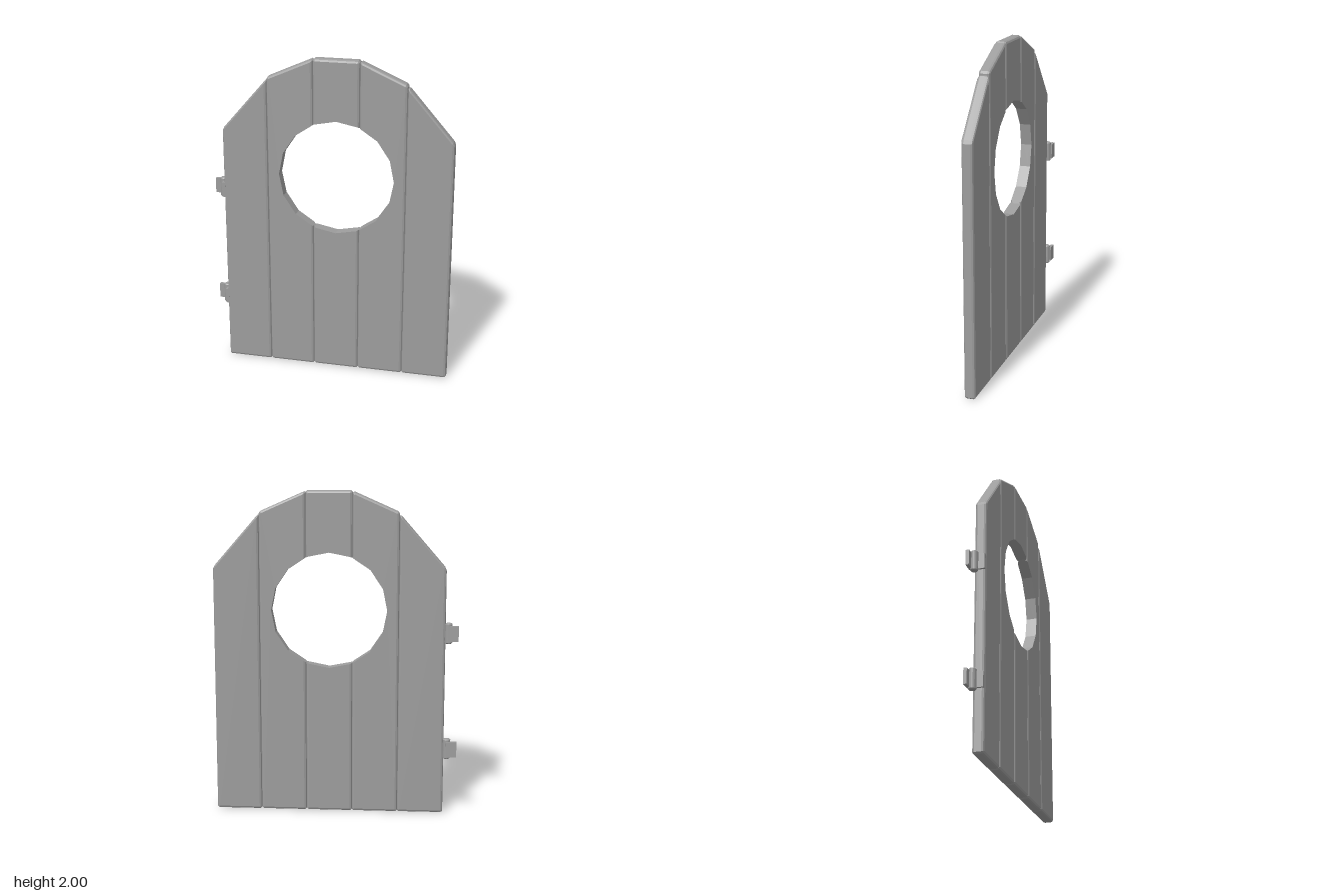
import * as THREE from 'three';

const MAT = new THREE.MeshStandardMaterial({ color: 0x9d9d9d, flatShading: true });
const CX = 0.0385, PITCH = 0.284;          // door centre and plank width
const ZF = 0.047, ZB = -0.022, C = 0.015;  // front, back, edge rounding
const HOLE_Y = 1.274, HOLE_R = 0.355, STEP = Math.PI / 8;

// Point on the 16-sided window, by vertex number
const holePoint = (i) => [CX + HOLE_R * Math.cos(i * STEP), HOLE_Y + HOLE_R * Math.sin(i * STEP)];

// Height of the window edge at x, upper (s = 1) or lower (s = -1)
function holeEdge(x, s) {
  for (let i = 0; i < 8; i++) {
    const [x1, y1] = holePoint(i), [x0, y0] = holePoint(i + 1);
    if (x >= x0 && x <= x1) return HOLE_Y + s * (y0 + (y1 - y0) * (x - x0) / (x1 - x0) - HOLE_Y);
  }
  return HOLE_Y;
}

// Plank from a counter-clockwise outline of {rim, face} points: the faces are
// inset from the rim, which rounds every edge but the window's
function plankGeometry(points) {
  const n = points.length, pos = [], idx = [];
  // Each layer: inset from rim (0) to face (1), and depth
  const layers = [
    [1, ZF], [0.32, ZF - 0.32 * C], [0, ZF - C],
    [0, ZB + C], [0.32, ZB + 0.32 * C], [1, ZB],
  ];
  for (const [t, z] of layers) for (const { rim, face } of points) {
    pos.push(rim[0] + (face[0] - rim[0]) * t, rim[1] + (face[1] - rim[1]) * t, z);
  }
  const last = layers.length - 1;
  for (let l = 0; l < last; l++) for (let i = 0; i < n; i++) {
    const j = (i + 1) % n, a = l * n + i, b = l * n + j;
    idx.push(a, a + n, b, b, a + n, b + n);
  }
  const flat = points.map((p) => new THREE.Vector2(p.face[0], p.face[1]));
  for (const [a, b, c] of THREE.ShapeUtils.triangulateShape(flat, [])) {
    idx.push(a, b, c, last * n + a, last * n + c, last * n + b);
  }
  const g = new THREE.BufferGeometry();
  g.setAttribute('position', new THREE.Float32BufferAttribute(pos, 3));
  g.setIndex(idx);
  const out = g.toNonIndexed();
  out.computeVertexNormals();
  return out;
}

// Outline pieces of one plank: x0..x1, top heights y0 and y1
function plankParts(x0, x1, y0, y1) {
  const k = 0.01;
  const clampX = (x) => Math.min(Math.max(x, x0 + C), x1 - C);
  const topY = (x) => y0 + (y1 - y0) * (x - x0) / (x1 - x0);
  const pt = (x, y, fy) => ({ rim: [x, y], face: [clampX(x), fy] });
  const bottom = [pt(x0, k, C + 0.003), pt(x0 + k, 0, C), pt(x1 - k, 0, C), pt(x1, k, C + 0.003)];
  const top = [
    pt(x1, topY(x1) - k, topY(x1 - C) - C - 0.003),
    pt(x1 - k, topY(x1 - k), topY(x1 - C) - C),
    pt(x0 + k, topY(x0 + k), topY(x0 + C) - C),
    pt(x0, topY(x0) - k, topY(x0 + C) - C - 0.003),
  ];
  const onHole = (x, s) => ({ rim: [x, holeEdge(x, s)], face: [clampX(x), holeEdge(clampX(x), s)] });
  const vertex = (i) => ({ rim: holePoint(i), face: holePoint(i) });
  const mid = (x0 + x1) / 2;
  if (Math.abs(mid - CX) < 0.1) {
    const xs = [x0, holePoint(5)[0], CX, holePoint(3)[0], x1];
    return [
      [...bottom, ...xs.slice().reverse().map((x) => onHole(x, -1))],
      [...xs.map((x) => onHole(x, 1)), ...top],
    ];
  }
  if (Math.abs(mid - CX) < 0.4) {
    return mid < CX
      ? [[...bottom, onHole(x1, -1), ...[10, 9, 8, 7, 6].map(vertex), onHole(x1, 1), ...top]]
      : [[...bottom, ...top, onHole(x0, 1), ...[2, 1, 0, 15, 14].map(vertex), onHole(x0, -1)]];
  }
  return [[...bottom, ...top]];
}

function addMesh(parent, geometry, name, x = 0, y = 0, z = 0) {
  const mesh = new THREE.Mesh(geometry, MAT);
  mesh.name = name;
  mesh.position.set(x, y, z);
  parent.add(mesh);
}

// Hinge: barrel with bevelled ends, leaf on the door edge and leaf for the frame
function makeHinge(y) {
  const hinge = new THREE.Group();
  hinge.name = 'hinge';
  hinge.position.y = y;
  const profile = [[0, -0.063], [0.017, -0.063], [0.023, -0.057], [0.023, 0.057], [0.017, 0.063], [0, 0.063]]
    .map(([r, h]) => new THREE.Vector2(r, h));
  addMesh(hinge, new THREE.LatheGeometry(profile, 16), 'hingeBarrel', -0.69, 0, -0.016);
  addMesh(hinge, new THREE.BoxGeometry(0.02, 0.095, 0.06), 'doorLeaf', -0.675, 0, 0.014);
  addMesh(hinge, new THREE.BoxGeometry(0.065, 0.095, 0.02), 'frameLeaf', -0.7175, 0, -0.038);
  return hinge;
}

export function createModel() {
  const model = new THREE.Group();
  model.name = 'arched plank door';

  // Five planks under a faceted arch
  const tops = [[1.535, 1.862], [1.872, 1.998], [2, 2], [1.998, 1.872], [1.862, 1.535]];
  tops.forEach(([y0, y1], i) => {
    const x0 = CX + (i - 2.5) * PITCH;
    const plank = new THREE.Group();
    plank.name = 'plank' + (i + 1);
    plankParts(x0, x0 + PITCH, y0, y1).forEach((outline) => addMesh(plank, plankGeometry(outline), 'plankBoard'));
    model.add(plank);
  });

  for (const y of [0.418, 1.143]) model.add(makeHinge(y));
  return model;
}
